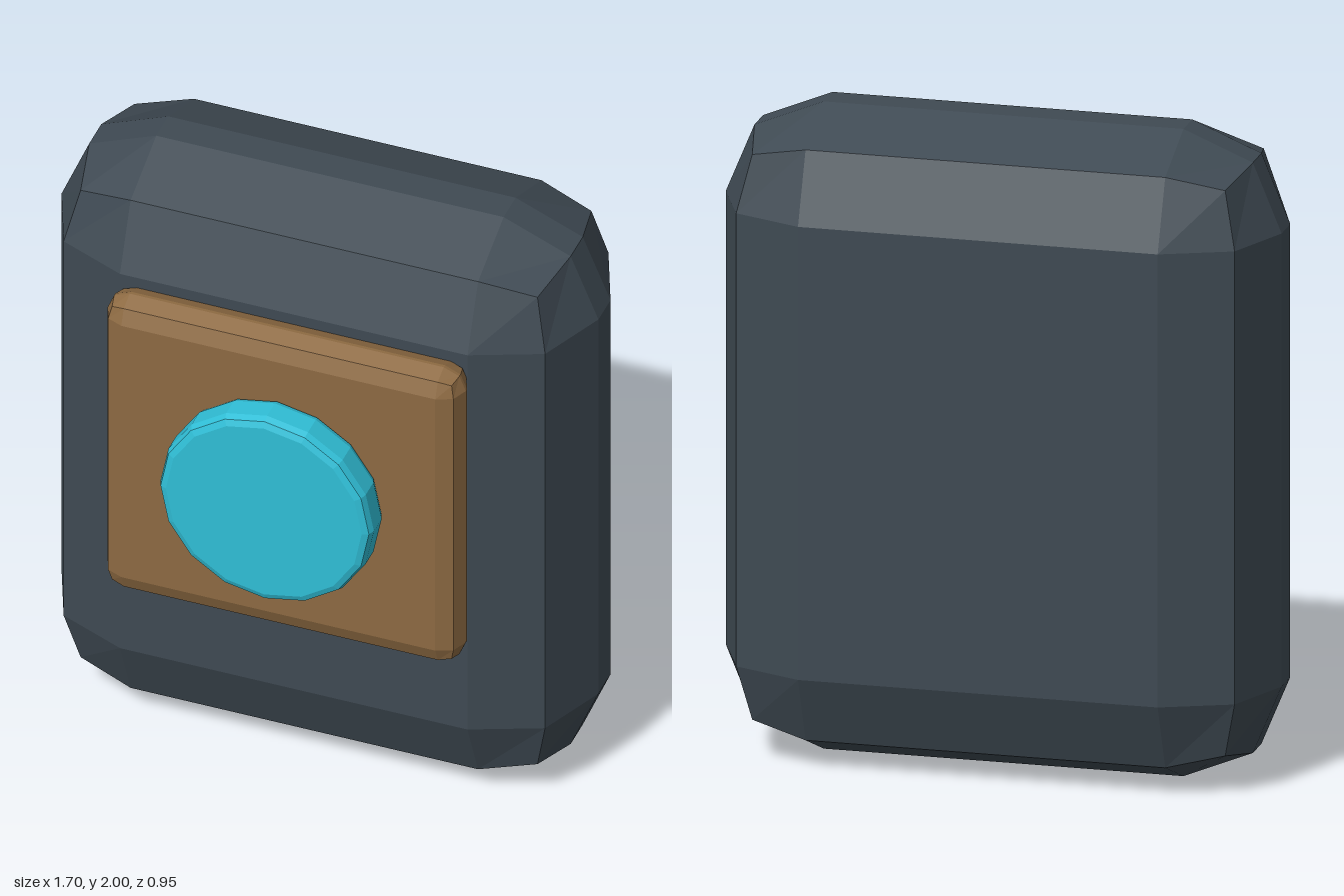
import * as THREE from 'three';
import { RoundedBoxGeometry } from 'three/addons/geometries/RoundedBoxGeometry.js';

const makeMaterial = (name, color) => {
  const material = new THREE.MeshStandardMaterial({ color });
  material.name = name;
  return material;
};

// Faceted normals for the low-poly look
function facet(geometry) {
  const flat = geometry.index ? geometry.toNonIndexed() : geometry;
  flat.computeVertexNormals();
  return flat;
}

export function createModel() {
  const slate = makeMaterial('slate', 0x3f4a53);
  const brown = makeMaterial('brown', 0x8d6a42);
  const cyan = makeMaterial('cyan', 0x30bfd7);
  const model = new THREE.Group();

  const add = (name, geometry, material, x, y, z) => {
    const mesh = new THREE.Mesh(facet(geometry), material);
    mesh.name = name;
    mesh.position.set(x, y, z);
    model.add(mesh);
  };

  // Main slab with wide two-step rounded edges
  add('body', new RoundedBoxGeometry(1.7, 2, 0.7, 1, 0.3), slate, 0, 1, -0.124);

  // Raised plate, half sunk into the front of the slab
  add('frontPlate', new RoundedBoxGeometry(1.134, 1.08, 0.15, 1, 0.07), brown, 0, 1.143, 0.279);

  // Sixteen-sided button with bevelled rims
  const radius = 0.338, half = 0.06, bevel = 0.028;
  const rim = [0, 45, 90].map((deg) => {
    const a = THREE.MathUtils.degToRad(deg);
    return [radius - bevel + bevel * Math.cos(a), half - bevel + bevel * Math.sin(a)];
  });
  const profile = [
    [0, -half],
    ...rim.map(([r, h]) => [r, -h]).reverse(),
    ...rim,
    [0, half],
  ].map(([r, h]) => new THREE.Vector2(r, h));
  const button = new THREE.LatheGeometry(profile, 16).rotateX(Math.PI / 2);
  add('button', button, cyan, 0, 1.143, 0.414);

  return model;
}
